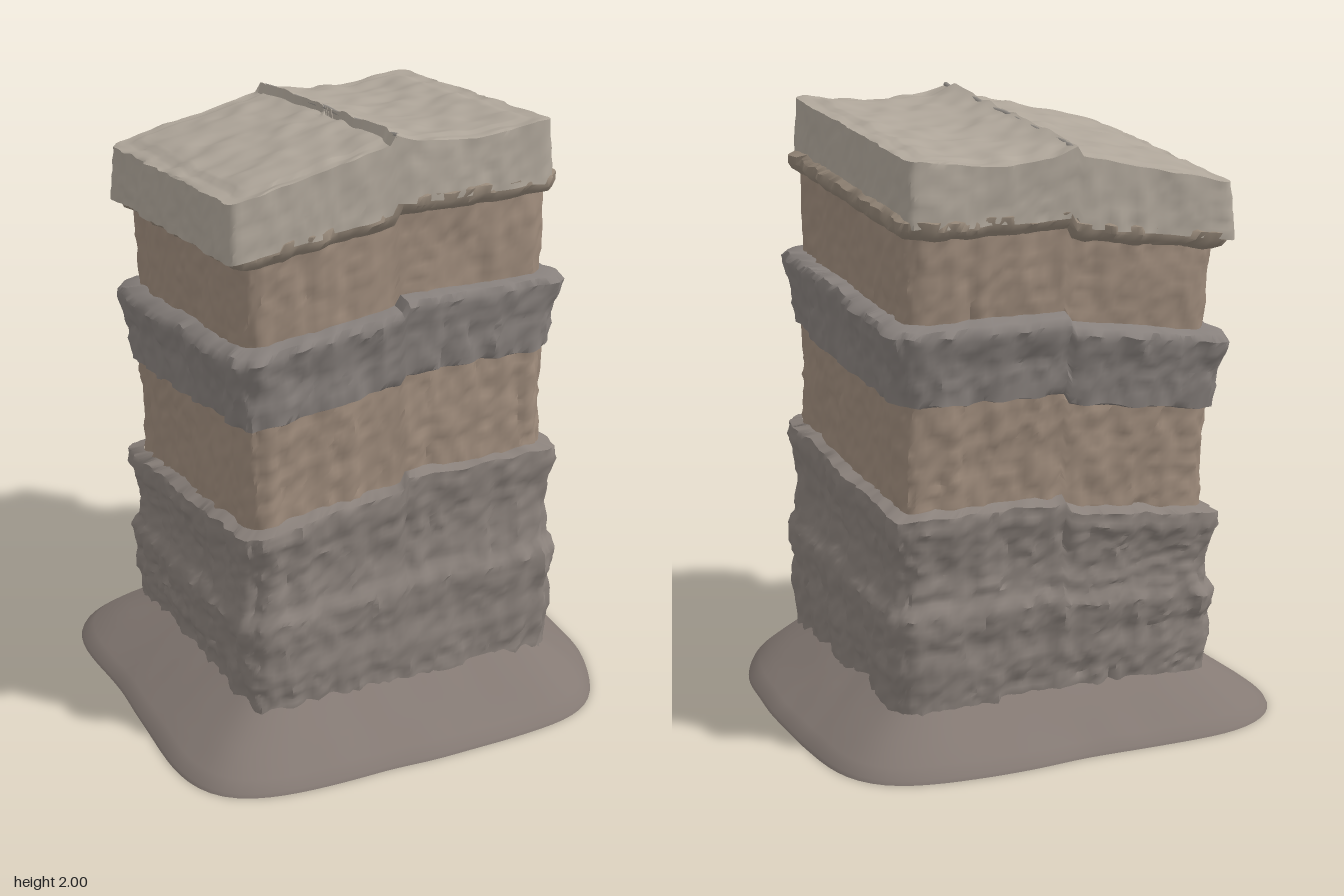
import * as THREE from 'three';
import { toCreasedNormals } from 'three/addons/utils/BufferGeometryUtils.js';

// Seeded value noise in three dimensions, from -1 to 1
function hash(x, y, z) {
  let h = Math.imul(x, 374761393) ^ Math.imul(y, 668265263) ^ Math.imul(z, 1274126177);
  h = Math.imul(h ^ (h >>> 13), 1103515245);
  return ((h ^ (h >>> 16)) >>> 0) / 2147483648 - 1;
}
function noise(x, y, z) {
  const f = [x, y, z].map(Math.floor);
  const [u, v, w] = [x, y, z].map((c, i) => { const t = c - f[i]; return t * t * (3 - 2 * t); });
  const mix = THREE.MathUtils.lerp;
  const edge = (j, k) => mix(hash(f[0], f[1] + j, f[2] + k), hash(f[0] + 1, f[1] + j, f[2] + k), u);
  return mix(mix(edge(0, 0), edge(1, 0), v), mix(edge(0, 1), edge(1, 1), v), w);
}

// Joins rings of points (running counterclockwise from above, bottom to top) into a skin
function loft(rings, crease) {
  const n = rings[0].length, pos = [], index = [];
  rings.forEach(r => r.forEach(p => pos.push(p.x, p.y, p.z)));
  for (let r = 0; r < rings.length - 1; r++) {
    for (let i = 0; i < n; i++) {
      const j = (i + 1) % n;
      const a = r * n + i, b = r * n + j, c = (r + 1) * n + j, d = (r + 1) * n + i;
      index.push(a, b, c, a, c, d);
    }
  }
  const geo = new THREE.BufferGeometry();
  geo.setAttribute('position', new THREE.Float32BufferAttribute(pos, 3));
  geo.setIndex(index);
  geo.computeVertexNormals();
  return toCreasedNormals(geo, crease);
}

// Sinking of the courses towards the left half and the back, with a step at the middle seam
function sink(x, y, z) {
  const ramp = THREE.MathUtils.clamp((y - 0.17) / 0.65, 0, 1);
  const side = x < -0.002 ? 0.03 - 0.14 * x : 0;
  return -ramp * (side + 0.085 * (0.45 - z));
}

const SIDE = 60;
// One square ring of the pillar, centred on x = cx, with corner radius r and weathered faces
function squareRing(y, out, { rough, cx, r }, scale = 1, lift = 0) {
  const ring = [], k = y / 2;
  const cz = -0.005 - 0.075 * k;
  const hx = 0.546 - 0.01 * k + out, hz = 0.51 - 0.015 * k + out;
  for (let i = 0; i < SIDE * 4; i++) {
    const side = Math.floor(i / SIDE), u = (i % SIDE) / SIDE * 2 - 1;
    const [sx, sz] = [[u, 1], [1, -u], [-u, -1], [-1, u]][side];
    const px = sx * hx, pz = sz * hz;
    const qx = THREE.MathUtils.clamp(px, r - hx, hx - r);
    const qz = THREE.MathUtils.clamp(pz, r - hz, hz - r);
    const len = Math.hypot(px - qx, pz - qz);
    const nx = (px - qx) / len, nz = (pz - qz) / len;
    // tall streaks, broad lumps and fine pitting
    const d = r + rough * (noise(px * 22, y * 5, pz * 22) + 0.6 * noise(px * 5, y * 5, pz * 5)
      + 0.7 * noise(px * 45, y * 35, pz * 45));
    const x = (qx + nx * d) * scale + cx, z = (qz + nz * d) * scale + cz;
    const bump = 0.6 * rough * noise(x * 18, y * 9, z * 18);
    ring.push(new THREE.Vector3(x, y + lift + sink(x - cx, y, z) + bump, z));
  }
  return ring;
}

// Subdivides an outline of [height, outward offset] into closely spaced rings
function courseRings(profile, style) {
  const rings = [];
  profile.forEach(([y, out], i) => {
    const [y0, o0] = profile[Math.max(0, i - 1)];
    const steps = Math.max(1, Math.round(Math.abs(y - y0) / 0.018));
    for (let s = 1; s <= steps; s++) {
      rings.push(squareRing(THREE.MathUtils.lerp(y0, y, s / steps), THREE.MathUtils.lerp(o0, out, s / steps), style));
    }
  });
  return rings;
}

// Extra shape of the cap's upper face: steeper left half, sagging right half
function capWarp(x) {
  if (x < -0.002) return 0.022 + 0.08 * x;
  return 0.018 * Math.exp(-x / 0.06) - 0.025 * Math.sin(Math.PI * Math.min(1, x / 0.5));
}

export function createModel() {
  const group = new THREE.Group();
  const add = (name, geo, color) => {
    const mesh = new THREE.Mesh(geo, new THREE.MeshStandardMaterial({ color }));
    mesh.name = name;
    group.add(mesh);
  };

  // Stacked courses: name, colour, roughness, corner radius, profile
  const courses = [
    ['lowerStone', 0x8a817b, 0.013, 0.085, [[0.1, 0.0], [0.2, 0.0], [0.3, 0.014], [0.38, 0.01], [0.45, 0.024],
      [0.51, 0.028], [0.56, 0.006], [0.66, 0.0], [0.76, 0.01], [0.83, 0.026], [0.875, 0.024], [0.89, -0.012]]],
    ['lowerBrick', 0x9e8b7b, 0.011, 0.07, [[0.86, -0.015], [1.0, -0.015], [1.24, -0.012]]],
    ['middleBand', 0x87807c, 0.012, 0.085, [[1.215, -0.02], [1.225, 0.006], [1.27, 0.01], [1.34, 0.014],
      [1.41, 0.03], [1.45, 0.038], [1.47, 0.026], [1.478, -0.02]]],
    ['upperBrick', 0x9e8b7b, 0.011, 0.07, [[1.45, -0.025], [1.6, -0.018], [1.8, -0.012]]],
    ['capMortar', 0x958778, 0.012, 0.06, [[1.735, -0.015], [1.75, 0.004], [1.77, 0.014], [1.795, 0.014], [1.81, -0.01]]],
  ];
  for (const [name, color, rough, r, profile] of courses) {
    add(name, loft(courseRings(profile, { rough, r, cx: 0.01 }), 0.9), color);
  }

  // Cap slab: underside, sides, then rings shrinking across the top behind a low rim
  const cap = { rough: 0.006, r: 0.035, cx: -0.012 };
  const sides = courseRings([[1.77, -0.05], [1.775, 0.016], [1.86, 0.013], [1.975, 0.008]], cap);
  const top = [];
  for (let s = 0.985; s > 0; s -= 0.0275) {
    top.push(squareRing(1.975, 0.008, cap, s, s < 0.9 ? 0.008 : 0));
    top.at(-1).forEach(p => { p.y += 0.008 * noise(p.x * 14, 3, p.z * 14); });
  }
  top.push(top.at(-1).map(() => new THREE.Vector3(cap.cx, 1.92, -0.08)));
  // the warp fades in up the sides
  sides.forEach((ring, i) => ring.forEach(p => { p.y += capWarp(p.x - cap.cx) * i / (sides.length - 1); }));
  top.forEach(ring => ring.forEach(p => { p.y += capWarp(p.x - cap.cx); }));
  add('capSlab', loft([...sides, ...top], 0.7), 0xaea599);

  // Raised seam running front to back over the cap
  const seam = [];
  for (let i = 0; i <= 12; i++) {
    const z = 0.42 - i * 0.082;
    seam.push(new THREE.Vector3(-0.006, 1.988 + sink(0, 1.975, z) + 0.004 * noise(i, 2, 5), z));
  }
  add('capSeam', new THREE.TubeGeometry(new THREE.CatmullRomCurve3(seam), 40, 0.008, 6), 0x8f8a84);

  // Bulges and dips of the skirt's outline: angle, width, amount
  const bulges = [[0.66, 0.26, -0.06], [2.5, 0.25, 0.03], [3.3, 0.3, -0.03], [-1.57, 0.3, -0.012]];
  // Sloping earth skirt around the foot, closed underneath
  const skirtRing = (a, b, power, y, wobble) => Array.from({ length: 128 }, (_, i) => {
    const t = -i / 128 * Math.PI * 2, c = Math.cos(t), s = Math.sin(t);
    let swell = 0.008 * noise(c * 4, 1, s * 4);
    for (const [angle, width, amount] of bulges) {
      const d = Math.atan2(Math.sin(t - angle), Math.cos(t - angle)) / width;
      swell += amount * Math.exp(-d * d);
    }
    const r = (Math.abs(c / a) ** power + Math.abs(s / b) ** power) ** (-1 / power) * (1 + wobble * swell);
    return new THREE.Vector3(c * r, y + (y > 0.02 ? 0.004 * noise(c * r * 9, 4, s * r * 9) : 0), s * r);
  });
  const rings = [skirtRing(0.002, 0.002, 2, 0, 0), skirtRing(0.79, 0.74, 4.8, 0, 1), skirtRing(0.785, 0.735, 4.8, 0.012, 1)];
  for (let i = 1; i <= 6; i++) {
    const t = i / 6;
    rings.push(skirtRing(0.785 - 0.255 * t, 0.735 - 0.245 * t, 4.8 + 4 * t, 0.012 + 0.168 * t, 1 - t));
  }
  add('earthSkirt', loft(rings, 0.7), 0x857a74);

  return group;
}
